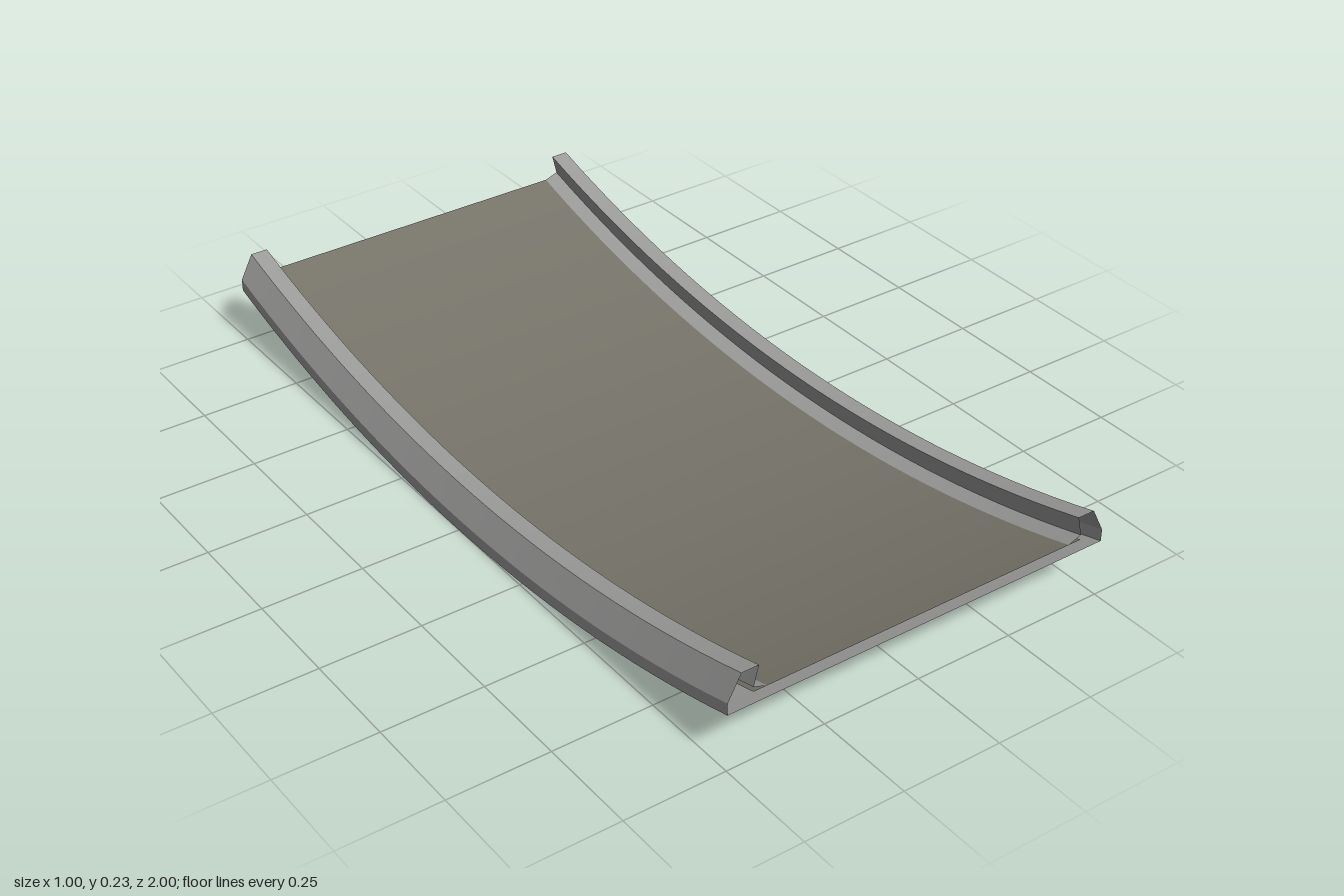
import * as THREE from 'three';

const RISE = 0.143; // height of the ends above the middle
const RADIUS = (1 + RISE * RISE) / (2 * RISE);
const SEGMENTS = 32;
const sag = (z) => RADIUS - Math.sqrt(RADIUS * RADIUS - z * z);

// Sweeps an open [x, y] profile along the sagging arc: sharp across, smooth along
function sweep(profile) {
  const pos = [], norm = [], index = [];
  for (let i = 0; i < profile.length - 1; i++) {
    const [x0, y0] = profile[i], [x1, y1] = profile[i + 1];
    const base = pos.length / 3;
    for (let j = 0; j <= SEGMENTS; j++) {
      const z = -1 + (2 * j) / SEGMENTS, h = sag(z);
      const slope = z / Math.sqrt(RADIUS * RADIUS - z * z);
      const n = new THREE.Vector3(x1 - x0, y1 - y0, 0)
        .cross(new THREE.Vector3(0, slope, 1)).negate().normalize();
      pos.push(x0, y0 + h, z, x1, y1 + h, z);
      norm.push(n.x, n.y, n.z, n.x, n.y, n.z);
      if (j < SEGMENTS) {
        const a = base + j * 2;
        index.push(a, a + 2, a + 1, a + 1, a + 2, a + 3);
      }
    }
  }
  const g = new THREE.BufferGeometry();
  g.setAttribute('position', new THREE.Float32BufferAttribute(pos, 3));
  g.setAttribute('normal', new THREE.Float32BufferAttribute(norm, 3));
  g.setIndex(index);
  return g;
}

export function createModel() {
  const concrete = new THREE.MeshStandardMaterial({ color: 0x9c9c9b, side: THREE.DoubleSide });
  concrete.name = 'concrete grey';
  const surface = new THREE.MeshStandardMaterial({ color: 0x77746a, side: THREE.DoubleSide });
  surface.name = 'road olive grey';

  const model = new THREE.Group();
  model.name = 'curvedRoadSection';
  const add = (name, profile, material) => {
    const mesh = new THREE.Mesh(sweep(profile), material);
    mesh.name = name;
    model.add(mesh);
  };

  // Hollow, open-ended shell: underside, deck and two kerb rails.
  // Profiles run so that their outer side faces out of the shell.
  add('underside', [[0.5, 0], [-0.5, 0]], concrete);
  add('roadDeck', [[-0.437, 0.03], [0.437, 0.03]], surface);

  const rail = [[-0.5, 0], [-0.5, 0.03], [-0.468, 0.092], [-0.425, 0.092], [-0.437, 0.042], [-0.403, 0.03]];
  add('rightRail', rail, concrete);
  add('leftRail', rail.map(([x, y]) => [-x, y]).reverse(), concrete);
  return model;
}
